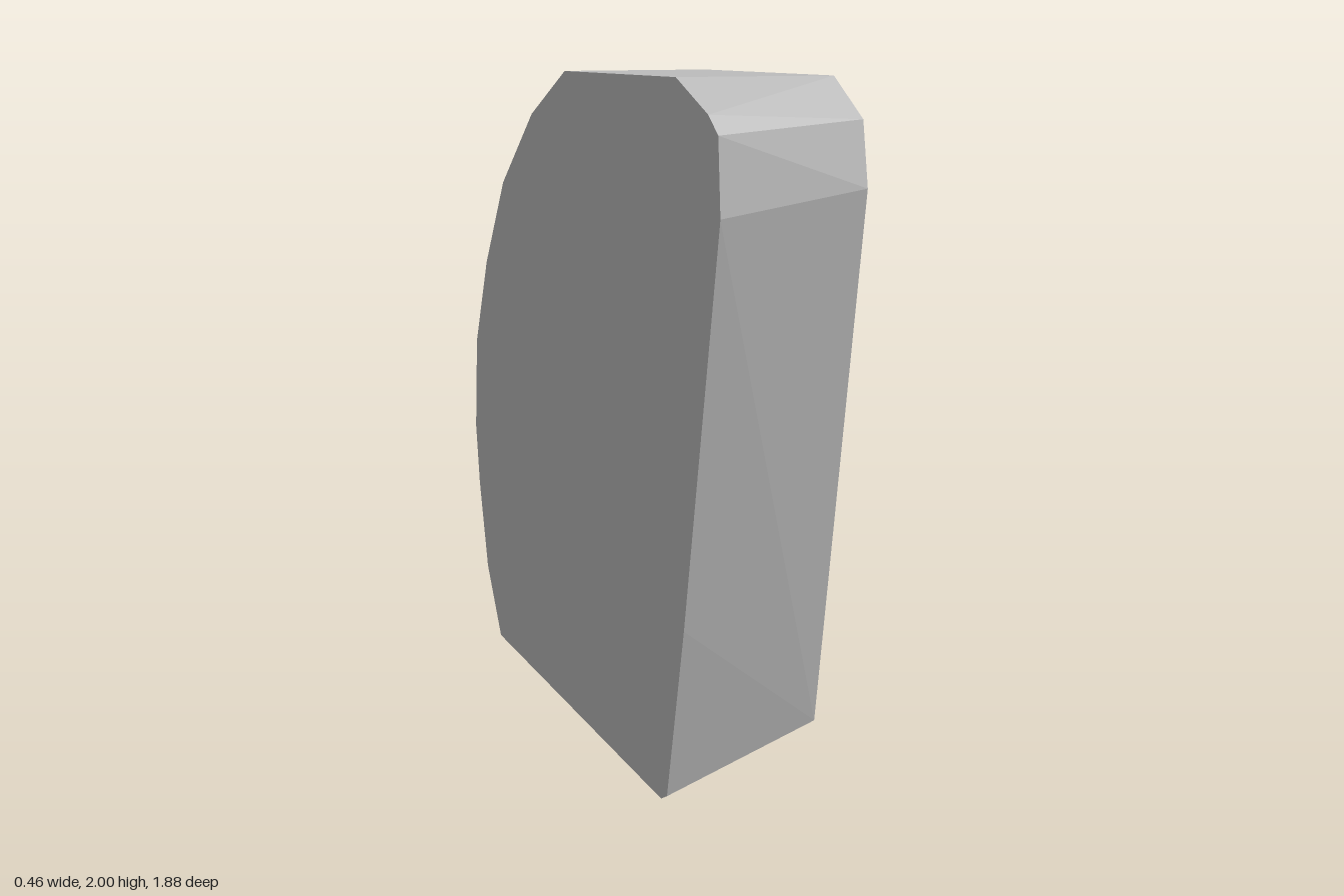
import * as THREE from 'three';
import { ConvexGeometry } from 'three/addons/geometries/ConvexGeometry.js';

// Side outlines as [z, y], running from the front foot, under, up the back and over the top
const leftOutline = [
  [0.62, 0.18], [0.42, 0.11], [-0.73, 0.16], [-0.83, 0.35], [-0.91, 0.64],
  [-0.93, 0.85], [-0.92, 1.09], [-0.81, 1.38], [-0.71, 1.55], [-0.6, 1.68],
  [-0.38, 1.86], [-0.13, 2], [0.685, 2], [0.85, 1.89], [0.88, 1.71],
];
const rightOutline = [
  [0.62, 0.02], [0.58, 0], [-0.72, 0.14], [-0.84, 0.35], [-0.91, 0.62],
  [-0.94, 0.81], [-0.92, 1.1], [-0.815, 1.37], [-0.65, 1.64], [-0.39, 1.865],
  [-0.115, 2], [0.67, 2], [0.87, 1.91], [0.93, 1.86], [0.945, 1.65], [0.73, 0.52],
];
const halfWidth = 0.23;

export function createModel() {
  const group = new THREE.Group();
  group.name = 'facetedSlab';
  const grey = new THREE.MeshStandardMaterial({ color: 0xbcbcbc });
  grey.name = 'grey';

  // Faceted hull spanning the two flat sides
  const place = (outline, x) => outline.map(([z, y]) => new THREE.Vector3(x, y, z));
  const points = [...place(leftOutline, halfWidth), ...place(rightOutline, -halfWidth)];
  const slab = new THREE.Mesh(new ConvexGeometry(points), grey);
  slab.name = 'slab';
  group.add(slab);
  return group;
}
